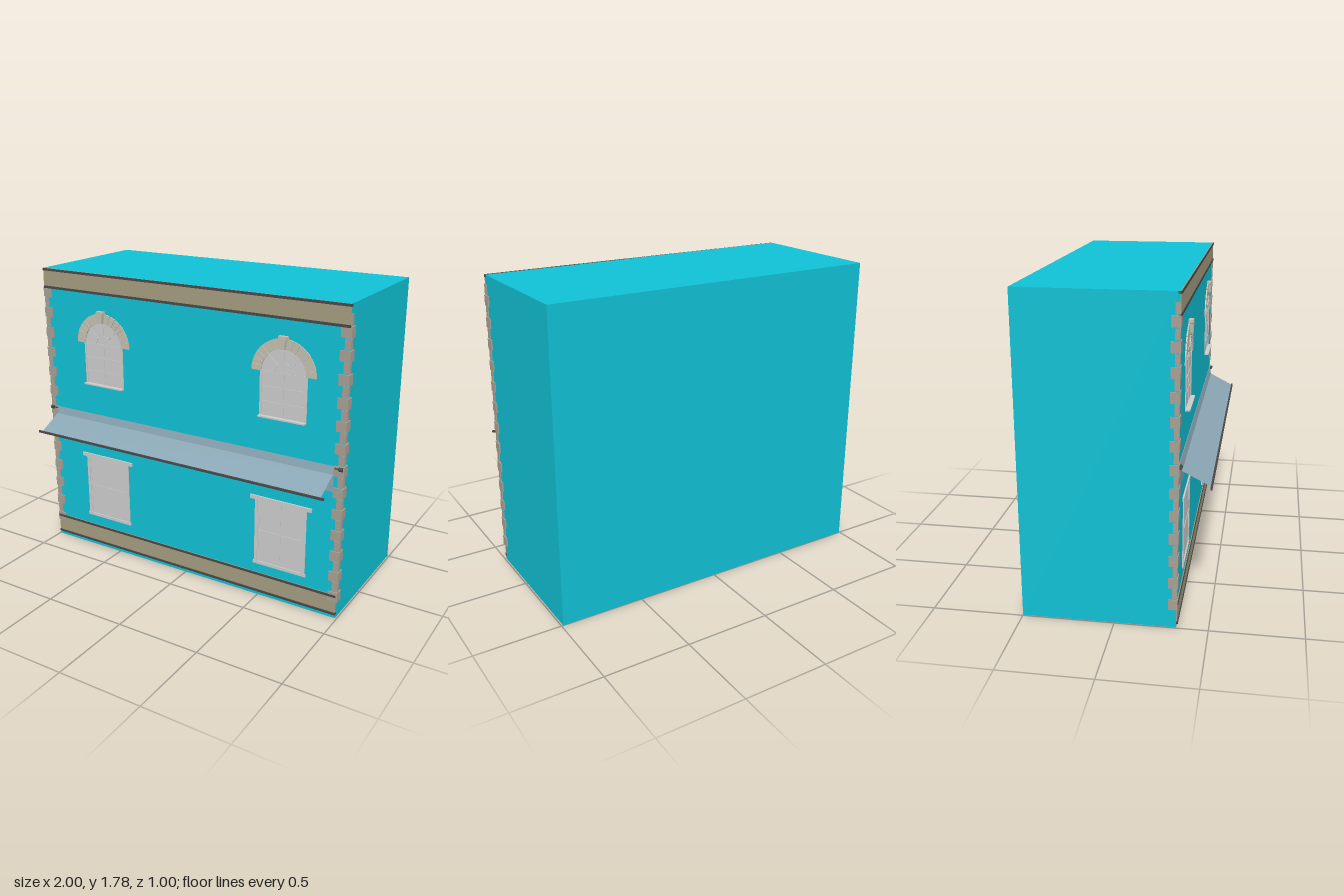
import * as THREE from 'three';

const FRONT = 0.33; // plane of the facade
const mat = (color, opts = {}) => new THREE.MeshStandardMaterial({ color, ...opts });
const wallMat = mat(0x10c0d4), stoneMat = mat(0xa89f94), bandMat = mat(0xa59d7f), darkMat = mat(0x484848);
const greyMat = mat(0xcccccc), archMat = mat(0xc2c0b0);
const clothMat = mat(0x8aa6b4, { side: THREE.DoubleSide });

function add(parent, name, geometry, material, x = 0, y = 0, z = 0) {
  const mesh = new THREE.Mesh(geometry, material);
  mesh.name = name;
  mesh.position.set(x, y, z);
  parent.add(mesh);
  return mesh;
}

// Box given by its extents
function block(parent, name, material, x0, x1, y0, y1, z0, z1) {
  return add(parent, name, new THREE.BoxGeometry(x1 - x0, y1 - y0, z1 - z0), material,
    (x0 + x1) / 2, (y0 + y1) / 2, (z0 + z1) / 2);
}

function extrude(shape, depth) {
  return new THREE.ExtrudeGeometry(shape, { depth, bevelEnabled: false, curveSegments: 24 });
}

function group(parent, name, x = 0, y = 0, z = 0) {
  const g = new THREE.Group();
  g.name = name;
  g.position.set(x, y, z);
  parent.add(g);
  return g;
}

// Ring sector used for arch stones and curved glazing bars
function sector(r0, r1, a0, a1, depth) {
  const s = new THREE.Shape();
  s.absarc(0, 0, r1, a0, a1, false);
  s.absarc(0, 0, r0, a1, a0, true);
  return extrude(s, depth);
}

// Horizontal band with dark mouldings along both edges
function band(parent, name, y0, y1) {
  const g = group(parent, name);
  block(g, 'bandFace', bandMat, -0.993, 0.99, y0, y1, FRONT - 0.01, FRONT + 0.005);
  for (const y of [y0, y1 - 0.014])
    block(g, 'bandMoulding', darkMat, -0.994, 0.991, y, y + 0.014, FRONT - 0.01, FRONT + 0.009);
}

// Alternating corner stones wrapping the front and the side
function quoins(parent, side) {
  const g = group(parent, side > 0 ? 'leftQuoins' : 'rightQuoins');
  const pitch = 0.0625;
  for (let i = 0; i < 26; i++) {
    const wide = i % 2 === 0;
    const y = 0.105 + i * pitch;
    const outer = side * (wide ? 0.999 : 0.996);
    const inner = side * (wide ? 0.94 : 0.963);
    block(g, 'quoin', stoneMat, Math.min(outer, inner), Math.max(outer, inner),
      y, y + pitch - 0.004, wide ? 0.287 : 0.308, FRONT + (wide ? 0.007 : 0.004));
  }
}

// Straight sash window; origin at the middle of its bottom edge
function sashWindow(parent, name, x, y, verticalBar) {
  const g = group(parent, name, x, y, FRONT);
  block(g, 'pane', greyMat, -0.145, 0.145, 0.015, 0.41, -0.01, 0.001);
  for (const s of [-1, 1]) {
    block(g, 'jamb', greyMat, s * 0.151 - 0.009, s * 0.151 + 0.009, 0, 0.415, -0.01, 0.006);
    block(g, 'sashStile', greyMat, s * 0.137 - 0.005, s * 0.137 + 0.005, 0.015, 0.41, -0.01, 0.003);
  }
  block(g, 'sill', greyMat, -0.167, 0.167, 0, 0.018, -0.01, 0.008);
  block(g, 'lintel', greyMat, -0.19, 0.19, 0.405, 0.428, -0.01, 0.009);
  block(g, 'meetingRail', greyMat, -0.14, 0.14, 0.205, 0.217, -0.01, 0.004);
  if (verticalBar) block(g, 'glazingBar', greyMat, -0.004, 0.004, 0.015, 0.41, -0.01, 0.003);
}

// Round-headed window; origin at the middle of its sill, arch springs at y = 0.255
function archedWindow(parent, name, x, y) {
  const g = group(parent, name, x, y, FRONT);
  const r = 0.14, spring = 0.255;
  const pane = new THREE.Shape();
  pane.moveTo(-r, 0);
  pane.lineTo(r, 0);
  pane.lineTo(r, spring);
  pane.absarc(0, spring, r, 0, Math.PI, false);
  add(g, 'pane', extrude(pane, 0.011), greyMat, 0, 0, -0.01);
  block(g, 'sill', greyMat, -r, r, 0, 0.008, -0.01, 0.027);
  for (const s of [-1, 1])
    block(g, 'jamb', greyMat, s * 0.134 - 0.006, s * 0.134 + 0.006, 0.008, spring, -0.01, 0.005);
  for (const by of [0.085, 0.17, spring])
    block(g, 'glazingBar', greyMat, -r, r, by - 0.004, by + 0.004, -0.01, 0.004);
  block(g, 'glazingBar', greyMat, -0.004, 0.004, 0.008, spring, -0.01, 0.004);

  // Fan light
  add(g, 'fanArc', sector(0.05, 0.057, 0, Math.PI, 0.014), greyMat, 0, spring, -0.01);
  for (const a of [0.25, 0.5, 0.75].map(t => t * Math.PI)) {
    const bar = add(g, 'fanBar', new THREE.BoxGeometry(0.085, 0.007, 0.014), greyMat,
      Math.cos(a) * 0.097, spring + Math.sin(a) * 0.097, -0.003);
    bar.rotation.z = a;
  }

  // Arch stones around the head, with thin joints on a recessed bed
  add(g, 'archBed', sector(0.135, 0.187, 0, Math.PI, 0.014), archMat, 0, spring, -0.01);
  const count = 15, step = Math.PI / count;
  for (let i = 0; i < count; i++)
    add(g, 'archStone', sector(0.132, 0.19, i * step + 0.01, (i + 1) * step - 0.01, 0.018),
      archMat, 0, spring, -0.01);

  const key = new THREE.Shape([[-0.012, 0.39], [0.012, 0.39], [0.018, 0.44], [0.025, 0.445],
    [0.025, 0.46], [-0.025, 0.46], [-0.025, 0.445], [-0.018, 0.44]].map(p => new THREE.Vector2(...p)));
  add(g, 'keystone', extrude(key, 0.036), archMat, -0.003, 0, -0.01);
}

// Sloping awning with front rail and wall fixings
function awning(parent) {
  const g = group(parent, 'awning');
  const profile = [[0.91, 0.334], [0.865, 0.345], [0.787, 0.497]];
  const positions = [], index = [];
  profile.forEach(([y, z], i) => {
    positions.push(-0.945, y, z, 0.94, y, z);
    if (i) {
      const b = i * 2;
      index.push(b - 2, b, b - 1, b - 1, b, b + 1);
    }
  });
  const cloth = new THREE.BufferGeometry();
  cloth.setAttribute('position', new THREE.Float32BufferAttribute(positions, 3));
  cloth.setIndex(index);
  const flat = cloth.toNonIndexed();
  flat.computeVertexNormals();
  add(g, 'awningCloth', flat, clothMat);
  block(g, 'awningBacking', clothMat, -0.945, 0.94, 0.76, 0.905, FRONT - 0.01, FRONT + 0.003);
  block(g, 'frontRail', darkMat, -0.97, 0.96, 0.78, 0.792, 0.49, 0.5);
  for (const s of [-1, 1]) {
    const fixing = add(g, 'wallFixing', new THREE.CylinderGeometry(0.011, 0.011, 0.022, 12), darkMat,
      s * 0.982, 0.9, 0.34);
    fixing.rotation.z = Math.PI / 2;
    block(g, 'fixingArm', darkMat, s * 0.965 - 0.02, s * 0.965 + 0.02, 0.896, 0.903, FRONT, 0.34);
  }
}

export function createModel() {
  const model = new THREE.Group();
  model.name = 'building';
  block(model, 'walls', wallMat, -0.994, 0.99, 0, 1.777, -0.5, FRONT);
  band(model, 'corniceBand', 1.657, 1.777);
  band(model, 'baseBand', 0.022, 0.146);
  quoins(model, 1);
  quoins(model, -1);
  sashWindow(model, 'lowerRightWindow', -0.57, 0.21, false);
  sashWindow(model, 'lowerLeftWindow', 0.635, 0.205, true);
  archedWindow(model, 'upperRightWindow', -0.562, 1.1);
  archedWindow(model, 'upperLeftWindow', 0.63, 1.11);
  awning(model);
  return model;
}
